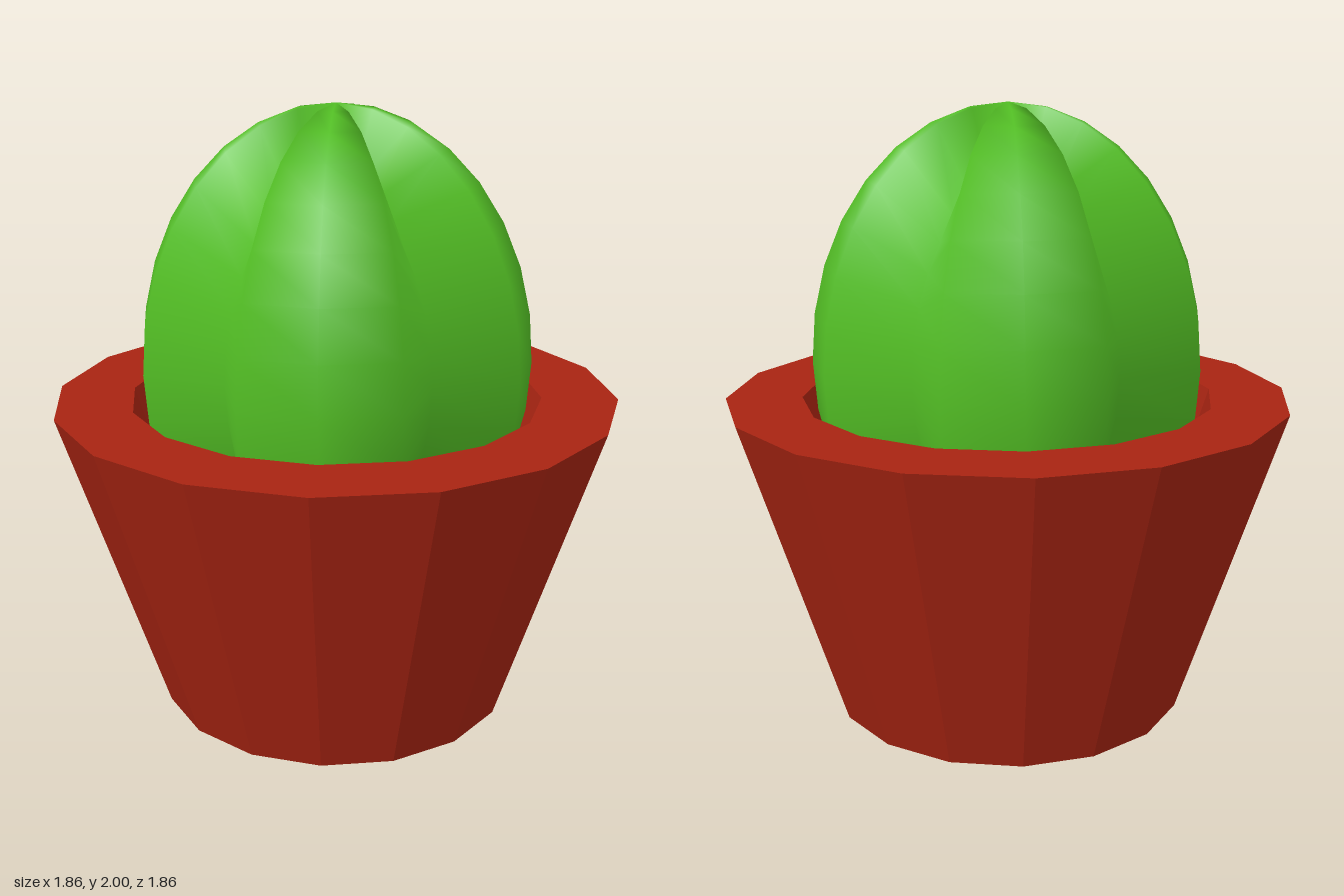
import * as THREE from 'three';
import { mergeVertices } from 'three/addons/utils/BufferGeometryUtils.js';

const SIDES = 16;

// Thick-walled pot: one closed profile turned in 16 flat sides
function createPot() {
  const profile = [
    [0, 0], [0.595, 0],          // underside
    [0.93, 1.05], [0.68, 1.05],  // outer wall and rim
    [0.43, 0.25], [0, 0.25],     // inner wall and floor
  ].map(([r, y]) => new THREE.Vector2(r, y));
  const pot = new THREE.Mesh(
    new THREE.LatheGeometry(profile, SIDES),
    new THREE.MeshStandardMaterial({ color: 0xa82412, flatShading: true })
  );
  pot.name = 'pot';
  return pot;
}

// Four-lobed cactus: a tall sphere whose meridians on the x and z axes
// are drawn in towards the centre to form the grooves
function createCactus() {
  const sphere = new THREE.SphereGeometry(0.642, SIDES, 16);
  sphere.deleteAttribute('uv');
  sphere.deleteAttribute('normal');
  const geometry = mergeVertices(sphere, 1e-4);
  const pos = geometry.attributes.position;
  const v = new THREE.Vector3();
  for (let i = 0; i < pos.count; i++) {
    v.fromBufferAttribute(pos, i);
    const ax = Math.abs(v.x), az = Math.abs(v.z);
    const onGroove = Math.min(ax, az) < 1e-3 && Math.max(ax, az) > 1e-3;
    if (onGroove) v.multiplyScalar(0.709);
    v.y *= 0.83 / 0.642;
    pos.setXYZ(i, v.x, v.y, v.z);
  }
  geometry.computeVertexNormals();
  const cactus = new THREE.Mesh(
    geometry,
    new THREE.MeshStandardMaterial({ color: 0x52bd24 })
  );
  cactus.name = 'cactus';
  cactus.position.y = 1.17;
  return cactus;
}

export function createModel() {
  const group = new THREE.Group();
  group.name = 'pottedCactus';
  group.add(createPot(), createCactus());
  return group;
}
